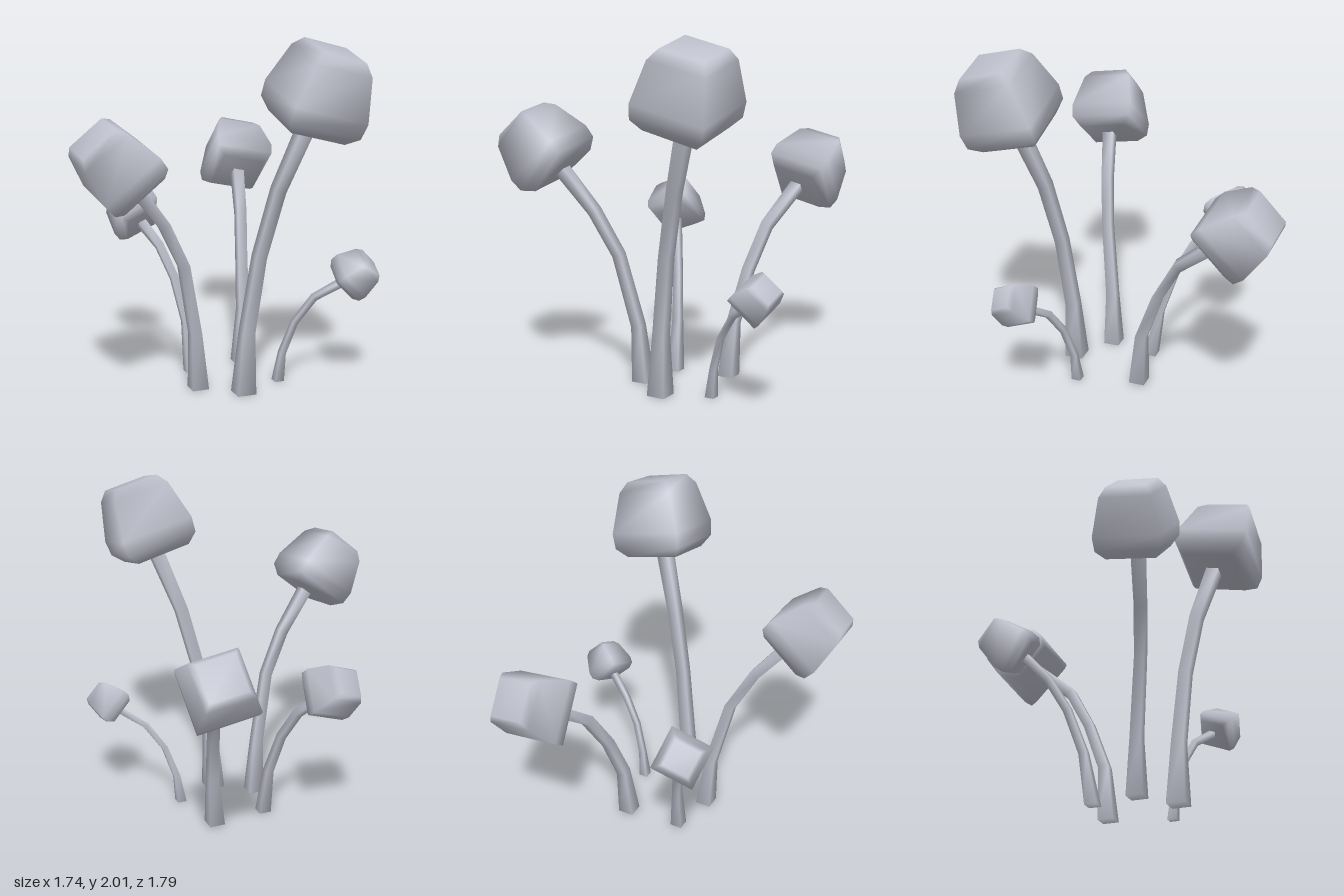
import * as THREE from 'three';

const UP = new THREE.Vector3(0, 1, 0);
const CORNERS = [[-1, 1], [1, 1], [1, -1], [-1, -1]];

// Closed, smooth-shaded loft of square rings: { p: centre, dir: axis, r: half width }
function squareLoft(rings) {
  const pos = [], idx = [];
  for (const { p, dir, r } of rings) {
    const q = new THREE.Quaternion().setFromUnitVectors(UP, dir);
    for (const [x, z] of CORNERS) {
      const v = new THREE.Vector3(x * r, 0, z * r).applyQuaternion(q).add(p);
      pos.push(v.x, v.y, v.z);
    }
  }
  for (let k = 0; k < rings.length - 1; k++) {
    for (let i = 0; i < 4; i++) {
      const a = k * 4 + i, b = k * 4 + (i + 1) % 4;
      idx.push(a, b, b + 4, a, b + 4, a + 4);
    }
  }
  const t = (rings.length - 1) * 4;
  idx.push(0, 2, 1, 0, 3, 2, t, t + 1, t + 2, t, t + 2, t + 3);
  const g = new THREE.BufferGeometry();
  g.setAttribute('position', new THREE.Float32BufferAttribute(pos, 3));
  g.setIndex(idx);
  g.computeVertexNormals();
  return g;
}

// Cap profile [distance along axis, half width] and stem half widths, at scale 1
const CAP = [[0, 0.163], [0.06, 0.213], [0.15, 0.219], [0.385, 0.169], [0.443, 0.13]];
const STEM = [0.055, 0.036, 0.033, 0.034, 0.039];

// Each mushroom: stem scale, cap scale, middle of cap, cap axis, stem path from the ground up
const MUSHROOMS = [
  { name: 'tallMushroom', s: 1, c: 1, mid: [0.422, 1.73, 0.678], axis: [0.25, 0.94, 0.24],
    path: [[0.097, 0, 0.44], [0.11, 0.36, 0.45], [0.165, 0.8, 0.485], [0.25, 1.18, 0.54]] },
  { name: 'rightMushroom', s: 0.87, c: 0.86, mid: [-0.655, 1.365, 0.48], axis: [-0.64, 0.75, 0.14],
    path: [[-0.117, 0, 0.277], [-0.14, 0.33, 0.29], [-0.23, 0.75, 0.35], [-0.36, 1.0, 0.4]] },
  { name: 'backLeftMushroom', s: 0.86, c: 0.82, mid: [0.492, 1.185, -0.685], axis: [0.2, 0.62, -0.75],
    path: [[0.275, 0.01, -0.035], [0.295, 0.33, -0.06], [0.33, 0.62, -0.17], [0.38, 0.87, -0.31]] },
  { name: 'backRightMushroom', s: 0.66, c: 0.6, mid: [-0.3, 0.928, -0.42], axis: [-0.35, 0.6, -0.7],
    path: [[-0.06, 0, 0.003], [-0.075, 0.3, -0.045], [-0.12, 0.55, -0.125], [-0.18, 0.73, -0.22]] },
  { name: 'smallMushroom', s: 0.5, c: 0.47, mid: [0.743, 0.663, 0.528], axis: [0.68, 0.6, 0.4],
    path: [[0.36, 0, 0.325], [0.38, 0.17, 0.335], [0.44, 0.36, 0.37], [0.54, 0.51, 0.415]] },
];

export function createModel() {
  const model = new THREE.Group();
  model.name = 'mushroomCluster';
  const grey = new THREE.MeshStandardMaterial({ color: 0xbec0cc });
  grey.name = 'paleGrey';

  for (const { name, s, c, mid, axis, path } of MUSHROOMS) {
    const group = new THREE.Group();
    group.name = name;
    const dir = new THREE.Vector3(...axis).normalize();
    const base = new THREE.Vector3(...mid).addScaledVector(dir, -0.215 * c);

    // Bent, tapering stem that ends just inside the cap
    const pts = path.map((p) => new THREE.Vector3(...p));
    pts.push(base.clone().addScaledVector(dir, 0.02 * c));
    const stemRings = pts.map((p, i) => ({
      p, r: STEM[i] * s,
      dir: i === 0 ? UP : i === 4 ? dir : pts[i + 1].clone().sub(pts[i - 1]).normalize(),
    }));
    const stem = new THREE.Mesh(squareLoft(stemRings), grey);
    stem.name = 'stem';

    // Blocky cap, narrowing towards its top
    const capRings = CAP.map(([a, r]) => ({ p: base.clone().addScaledVector(dir, a * c), dir, r: r * c }));
    const cap = new THREE.Mesh(squareLoft(capRings), grey);
    cap.name = 'cap';

    group.add(stem, cap);
    model.add(group);
  }
  return model;
}
